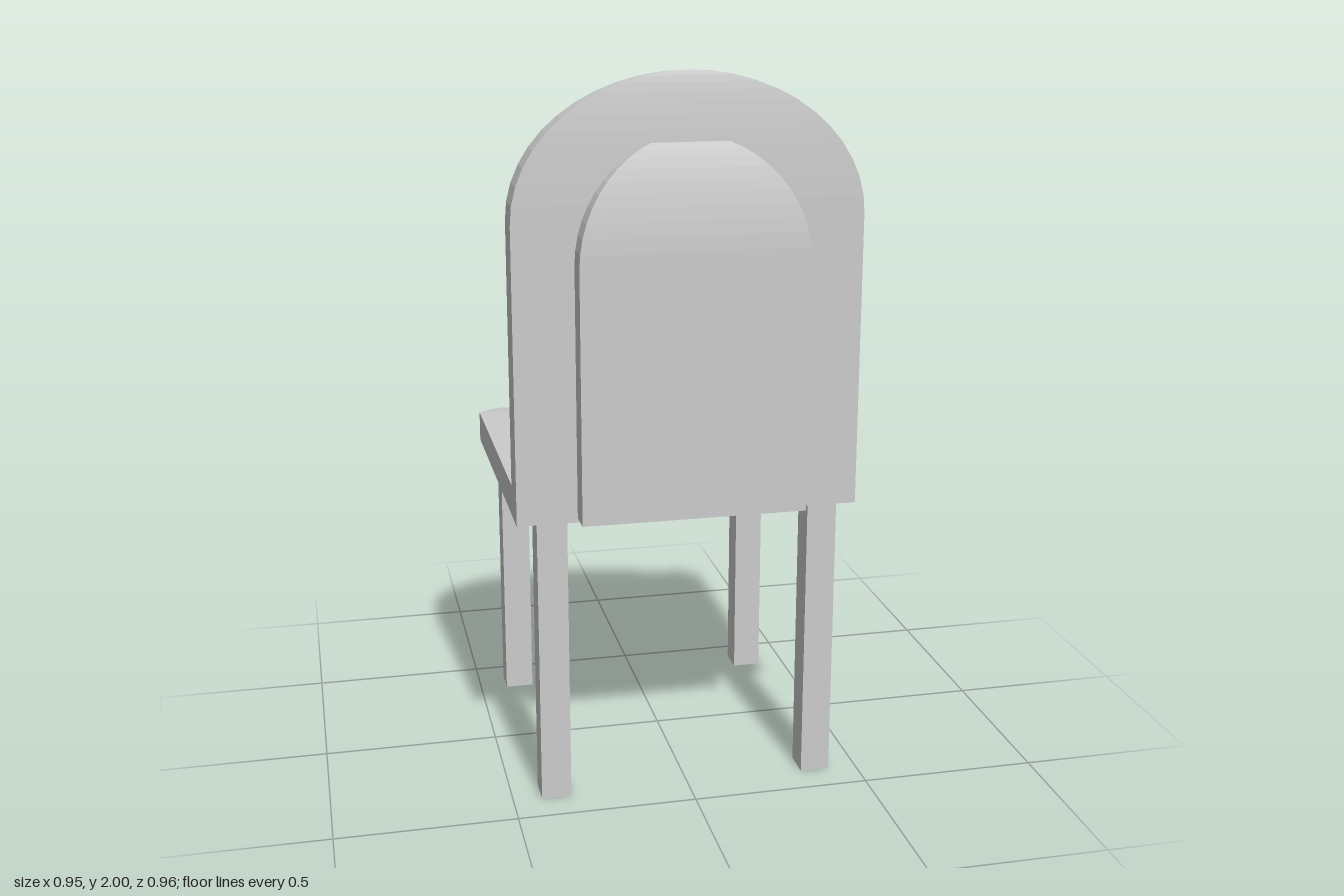
import * as THREE from 'three';

const material = new THREE.MeshStandardMaterial({ color: 0xcccccc, flatShading: true });

// Closed solid through rectangular sections [y, halfX, halfZ], centred on z = zc
function loft(sections, zc) {
  const rings = sections.map(([y, w, t]) =>
    [[w, y, zc + t], [w, y, zc - t], [-w, y, zc - t], [-w, y, zc + t]]);
  const pos = [];
  const quad = (a, b, c, d) => pos.push(...a, ...b, ...c, ...a, ...c, ...d);
  for (let i = 0; i < rings.length - 1; i++) {
    for (let j = 0; j < 4; j++) {
      const k = (j + 1) % 4;
      quad(rings[i][j], rings[i][k], rings[i + 1][k], rings[i + 1][j]);
    }
  }
  quad(...rings[0].slice().reverse());
  quad(...rings[rings.length - 1]);
  const geo = new THREE.BufferGeometry();
  geo.setAttribute('position', new THREE.Float32BufferAttribute(pos, 3));
  geo.computeVertexNormals();
  return geo;
}

// Straight slab whose upper part shrinks along an elliptical arc, cut off at endAngle
function archedSlab({ bottom, spring, rise, halfX, halfZ, endAngle, steps, zc }) {
  const sections = [[bottom, halfX, halfZ]];
  for (let i = 0; i <= steps; i++) {
    const a = endAngle * i / steps;
    const s = Math.max(Math.cos(a), 0);
    sections.push([spring + rise * Math.sin(a), halfX * s, halfZ * s]);
  }
  return loft(sections, zc);
}

export function createModel() {
  const chair = new THREE.Group();
  chair.name = 'chair';
  const add = (name, geo) => {
    const mesh = new THREE.Mesh(geo, material);
    mesh.name = name;
    chair.add(mesh);
    return mesh;
  };

  // Seat: lofted towards the front edge, which narrows to chamfered corners
  const seat = loft([[-0.315, 0.473, 0.044], [0.42, 0.473, 0.044], [0.48, 0.412, 0.038]], 0.856);
  seat.rotateX(-Math.PI / 2);
  add('seat', seat);

  // Backrest: arch tapering to a point at the top
  add('backrest', archedSlab({
    bottom: 0.812, spring: 1.62, rise: 0.38, halfX: 0.473, halfZ: 0.046,
    endAngle: Math.PI / 2, steps: 12, zc: 0.36,
  }));

  // Cushion: thicker, smaller arch through the backrest, with a flat top
  add('backCushion', archedSlab({
    bottom: 0.825, spring: 1.51, rise: 0.33, halfX: 0.308, halfZ: 0.12,
    endAngle: Math.acos(0.34), steps: 10, zc: 0.36,
  }));

  // Four square legs
  for (const [end, z] of [['back', 0.362], ['front', -0.385]]) {
    for (const [side, sx] of [['Left', 1], ['Right', -1]]) {
      add(`${end}${side}Leg`, new THREE.BoxGeometry(0.083, 0.812, 0.083))
        .position.set(sx * 0.378, 0.406, z);
    }
  }
  return chair;
}
